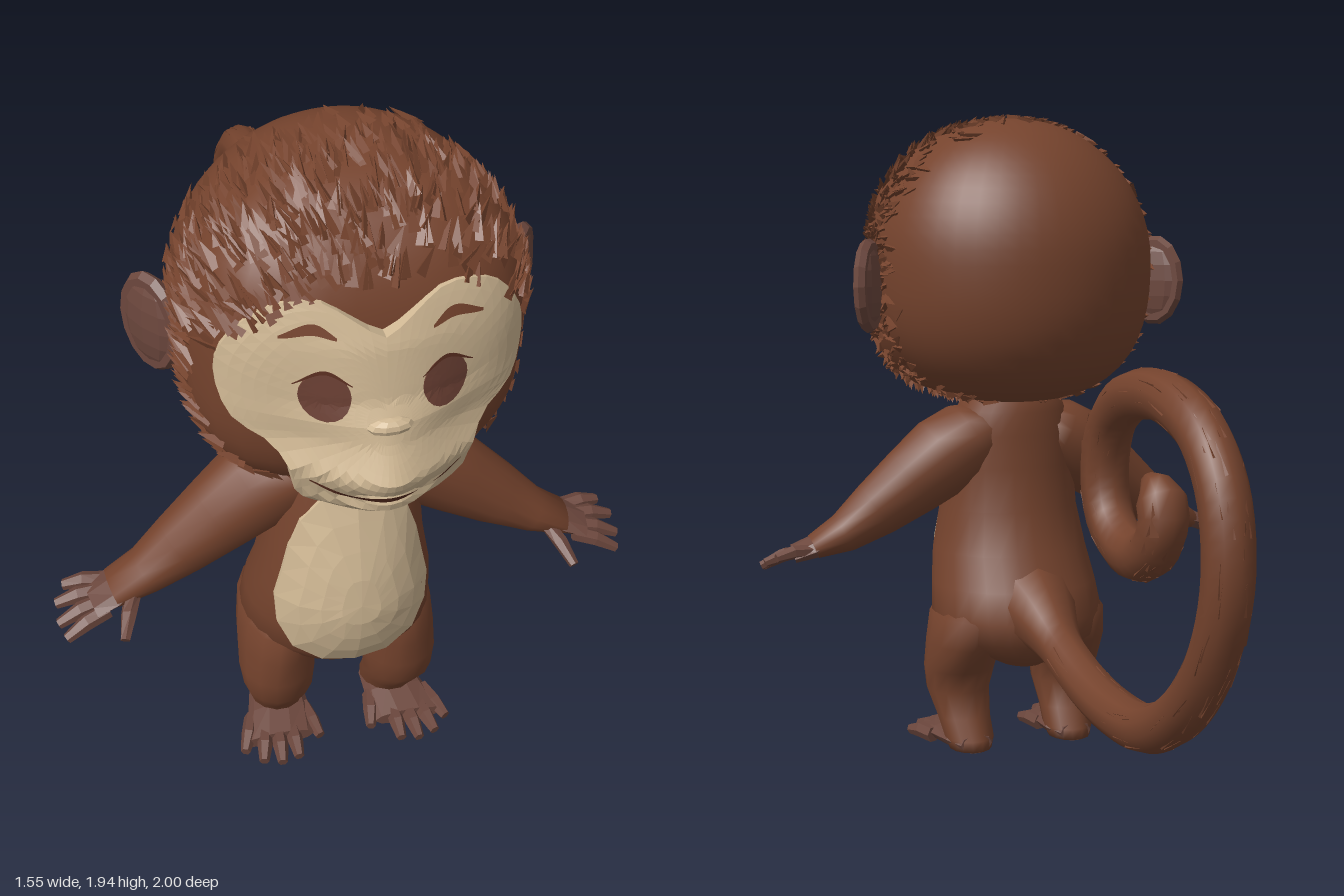
import * as THREE from 'three';
import { mergeGeometries, mergeVertices } from 'three/addons/utils/BufferGeometryUtils.js';

const mat = (name, color) => Object.assign(new THREE.MeshStandardMaterial({ color }), { name });
const FUR = mat('brown fur', 0x75432d);
const CREAM = mat('cream face', 0xd0b894);
const SKIN = mat('mauve skin', 0x6c473d);
const IRIS = mat('iris brown', 0x6a3f33);
const DARK = mat('dark brown', 0x5a2e20);
const V = (x, y, z) => new THREE.Vector3(x, y, z);

function build(pos, idx, flat) {
  let g = new THREE.BufferGeometry();
  g.setAttribute('position', new THREE.Float32BufferAttribute(pos, 3));
  g.setIndex(idx);
  if (flat) g = g.toNonIndexed();
  g.computeVertexNormals();
  return g;
}

// Skin elliptical sections [x, y, z, radiusU, radiusV] with closed ends
function loft(rows, { seg = 10, ref = V(0, 0, 1), axis = null, flat = true } = {}) {
  const pos = [], idx = [], last = rows.length - 1;
  const at = i => V(...rows[Math.min(last, Math.max(0, i))].slice(0, 3));
  for (let k = -1; k <= last + 1; k++) {
    const i = Math.min(last, Math.max(0, k)), s = k === i ? 1 : 0;
    const t = axis || at(i + 1).sub(at(i - 1)).normalize();
    const u = t.clone().cross(ref).normalize(), v = u.clone().cross(t);
    for (let j = 0; j < seg; j++) {
      const a = j / seg * Math.PI * 2;
      const p = at(i).addScaledVector(u, Math.cos(a) * rows[i][3] * s)
        .addScaledVector(v, Math.sin(a) * rows[i][4] * s);
      pos.push(p.x, p.y, p.z);
    }
  }
  for (let k = 0; k < last + 2; k++) for (let j = 0; j < seg; j++) {
    const a = k * seg + j, b = k * seg + (j + 1) % seg;
    idx.push(a, a + seg, b, b, a + seg, b + seg);
  }
  return build(pos, idx, flat);
}

// Patch draped over a depth function; outline runs clockwise seen from the front
function patch(outline, cx, cy, depth, rings, seg, skirt) {
  const curve = new THREE.CatmullRomCurve3(outline.map(([x, y]) => V(x, y, 0)), true);
  const rim = curve.getSpacedPoints(seg).slice(0, seg), pos = [], idx = [];
  for (let r = 0; r <= rings + 1; r++) for (const p of rim) {
    const f = Math.min(1, r / rings), x = cx + (p.x - cx) * f, y = cy + (p.y - cy) * f;
    pos.push(x, y, depth(x, y) - (r > rings ? skirt : 0));
  }
  for (let r = 0; r <= rings; r++) for (let j = 0; j < seg; j++) {
    const a = r * seg + j, b = r * seg + (j + 1) % seg;
    idx.push(a, b, a + seg, a + seg, b, b + seg);
  }
  return build(pos, idx, true);
}
const mirrored = half => [...half, ...half.slice(1, -1).reverse().map(([x, y]) => [-x, y])];

// Thin painted stroke, tapering at both ends, path running left to right
function stroke(path, width, depth, n = 16) {
  const pts = new THREE.CatmullRomCurve3(path.map(([x, y]) => V(x, y, 0))).getPoints(n);
  const pos = [], idx = [];
  pts.forEach((p, i) => {
    const w = width * (0.25 + 0.75 * Math.sin(Math.PI * i / n));
    for (const y of [p.y - w, p.y + w]) pos.push(p.x, y, depth(p.x, y));
    if (i < n) idx.push(2 * i, 2 * i + 2, 2 * i + 1, 2 * i + 1, 2 * i + 2, 2 * i + 3);
  });
  return build(pos, idx, true);
}

const lerpTable = (t, y, col) => {
  let i = 0;
  while (i < t.length - 2 && y > t[i + 1][0]) i++;
  const f = THREE.MathUtils.clamp((y - t[i][0]) / (t[i + 1][0] - t[i][0]), 0, 1);
  return t[i][col] + (t[i + 1][col] - t[i][col]) * f;
};

// Head: super-ellipsoid, squarer at the front and at the jaw
const HC = V(0, 1.5, 0.47), A = 0.42, B = 0.423, C = 0.387;
const power = (y, front) => (y > 0 ? 2 + 0.35 * front : 2.6 + 0.7 * front);
function headPoint(d) {
  const p = d.z > 0 ? 3 : 2, q = power(d.y, THREE.MathUtils.smoothstep(d.z / d.length(), 0, 0.5));
  const r = (Math.abs(d.x / A) ** p + Math.abs(d.z / C) ** p) ** (q / p);
  return d.clone().divideScalar((r + Math.abs(d.y / B) ** q) ** (1 / q)).add(HC);
}
function headFront(x, y) {
  const q = power(y - HC.y, 1), k = Math.abs((y - HC.y) / B);
  const r = Math.max(0, 1 - k ** q) ** (1 / q);
  return HC.z + C * Math.cbrt(Math.max(0, r ** 3 - Math.abs(x / A) ** 3));
}

// Face depth: centre profile [y, z], falling away to the sides, with a notch at the lips
const PROFILE = [[1.12, 0.85], [1.14, 0.91], [1.19, 0.965], [1.25, 0.985], [1.29, 1.0],
  [1.37, 0.955], [1.42, 0.94], [1.47, 0.91], [1.6, 0.885], [1.72, 0.83]];
function faceZ(x, y) {
  const w = 1 - THREE.MathUtils.smoothstep(y, 1.32, 1.5);
  const drop = 1.5 * x * x * (1 - w) + 0.7 * (Math.hypot(x, 0.06) - 0.06) * w;
  const notch = 0.025 * Math.exp(-(((y - 1.225) / 0.016) ** 2) - (x / 0.12) ** 2);
  const a = lerpTable(PROFILE, y, 1) - drop - notch, b = headFront(x, y) + 0.004;
  return (a + b + Math.hypot(a - b, 0.025)) / 2;
}

// Torso rows: y, half width, centre z, half depth
const TORSO = [[0.27, 0.07, 0.44, 0.1], [0.31, 0.15, 0.44, 0.17], [0.36, 0.23, 0.44, 0.22], [0.43, 0.265, 0.46, 0.25],
  [0.52, 0.255, 0.49, 0.25], [0.62, 0.24, 0.525, 0.228], [0.75, 0.215, 0.535, 0.2], [0.88, 0.205, 0.525, 0.175],
  [0.98, 0.2, 0.51, 0.16], [1.05, 0.17, 0.505, 0.15], [1.14, 0.13, 0.5, 0.13]];
const bellyZ = (x, y) => lerpTable(TORSO, y, 2) + 0.01 +
  lerpTable(TORSO, y, 3) * Math.sqrt(Math.max(0, 1 - (x / lerpTable(TORSO, y, 1)) ** 2));

// Small seeded random and one pointed tuft of fur
let seed = 7;
const rnd = () => (seed = (seed * 16807) % 2147483647) / 2147483647;
function tuft(p, dir, radius, length) {
  const g = new THREE.ConeGeometry(radius, length, 3, 1, true).toNonIndexed();
  g.rotateY(rnd() * 6).applyQuaternion(new THREE.Quaternion().setFromUnitVectors(V(0, 1, 0), dir));
  g.translate(p.x, p.y, p.z);
  g.computeVertexNormals();
  return g;
}

// Tufts combed away from the face
function headFur() {
  const tufts = [];
  while (tufts.length < 1000) {
    const d = V(rnd() * 2 - 1, rnd() * 2 - 1, rnd() * 2 - 1);
    if (d.length() > 1 || d.length() < 0.1) continue;
    const p = headPoint(d), e = p.clone().sub(HC);
    if (e.z < -0.12 + rnd() * 0.22) continue;
    if (e.z > 0.1 && (p.x / 0.41) ** 2 + ((p.y - 1.42) / 0.32) ** 2 < 1) continue;
    const n = V(e.x / A ** 2, e.y / B ** 2, e.z / C ** 2).normalize();
    const dir = p.clone().sub(V(0, 1.42, 0.9)).add(V(rnd() - 0.5, rnd() - 0.5, rnd() - 0.5).multiplyScalar(0.3));
    dir.addScaledVector(n, -dir.dot(n)).normalize().addScaledVector(n, 0.17).normalize();
    tufts.push(tuft(p.addScaledVector(dir, 0.01), dir, 0.018, 0.06 + rnd() * 0.03));
  }
  return mergeGeometries(tufts);
}

export function createModel() {
  seed = 7;
  const model = new THREE.Group();
  model.name = 'monkey';
  const add = (name, geo, material) => {
    const m = new THREE.Mesh(geo, material);
    m.name = name;
    model.add(m);
    return m;
  };

  // Head and fur
  let skull = new THREE.SphereGeometry(1, 40, 28);
  skull.deleteAttribute('uv');
  skull.deleteAttribute('normal');
  skull = mergeVertices(skull);
  const sp = skull.attributes.position;
  for (let i = 0; i < sp.count; i++) {
    const p = headPoint(V(0, 0, 0).fromBufferAttribute(sp, i));
    sp.setXYZ(i, p.x, p.y, p.z);
  }
  skull.computeVertexNormals();
  add('head', skull, FUR);
  add('headFur', headFur(), FUR);

  // Face
  const faceHalf = [[0, 1.625], [0.06, 1.66], [0.15, 1.71], [0.26, 1.69], [0.34, 1.6], [0.365, 1.5], [0.335, 1.39],
    [0.255, 1.34], [0.215, 1.28], [0.2, 1.2], [0.13, 1.14], [0, 1.12]];
  add('face', patch(mirrored(faceHalf), 0, 1.42, faceZ, 14, 56, 0.12), CREAM);
  const paint = h => (x, y) => faceZ(x, y) + h;
  add('mouth', stroke([[-0.18, 1.275], [-0.1, 1.238], [0, 1.226], [0.1, 1.238], [0.18, 1.275]], 0.01, paint(0.009), 24), DARK);
  const nose = add('nose', new THREE.SphereGeometry(1, 10, 6).toNonIndexed(), CREAM);
  nose.geometry.computeVertexNormals();
  nose.scale.set(0.055, 0.022, 0.025);
  nose.position.set(0, 1.42, 0.935);

  // Torso and belly
  add('torso', loft(TORSO.map(([y, w, z, d]) => [0, y, z, w, d]), { seg: 28, axis: V(0, 1, 0), flat: false }), FUR);
  const bellyHalf = [[0, 0.99], [0.09, 0.97], [0.15, 0.88], [0.185, 0.74], [0.21, 0.6], [0.175, 0.475], [0.085, 0.415], [0, 0.405]];
  add('belly', patch(mirrored(bellyHalf), 0, 0.66, bellyZ, 4, 18, 0.03), CREAM);

  // Curled tail, path as [z, y], with a few strands lying along it
  const tailPath = [[0.36, 0.47], [0.24, 0.445], [0.1, 0.39], [-0.1, 0.33], [-0.3, 0.305], [-0.5, 0.32], [-0.7, 0.42],
    [-0.86, 0.6], [-0.932, 0.8], [-0.905, 1.0], [-0.8, 1.13], [-0.65, 1.19], [-0.5, 1.2], [-0.35, 1.165], [-0.25, 1.08],
    [-0.215, 0.95], [-0.25, 0.84], [-0.35, 0.775], [-0.46, 0.77], [-0.55, 0.82], [-0.585, 0.9], [-0.555, 0.955], [-0.5, 0.975]];
  const tail = new THREE.CatmullRomCurve3(tailPath.map(([z, y]) => V(0, y, z))).getSpacedPoints(80);
  add('tail', loft(tail.map((p, i) => {
    const r = 0.066 + 0.09 * Math.max(0, 1 - i / 7) ** 1.5 - (i > 78 ? 0.02 * (i - 78) : 0);
    return [p.x, p.y, p.z, r, r];
  }), { seg: 10, ref: V(1, 0, 0), flat: false }), FUR);
  const strands = [];
  for (let i = 9; i < 78; i++) for (let k = 0; k < 3; k++) {
    const t = tail[i + 1].clone().sub(tail[i - 1]).normalize(), a = rnd() * Math.PI * 2;
    const out = t.clone().cross(V(1, 0, 0)).multiplyScalar(Math.cos(a)).add(V(Math.sin(a), 0, 0));
    strands.push(tuft(tail[i].clone().addScaledVector(out, 0.058), t.addScaledVector(out, 0.12).normalize(), 0.014, 0.09));
  }
  add('tailFur', mergeGeometries(strands), FUR);

  for (const s of [1, -1]) {
    const side = s > 0 ? 'left' : 'right';
    const flip = rows => rows.map(([x, ...rest]) => [s * x, ...rest]);
    const line = pts => (s > 0 ? pts : flip(pts).reverse());

    // Eye, lid and brow
    const eye = [...Array(12)].map((_, i) => {
      const a = -i / 12 * Math.PI * 2;
      return [s * 0.14 + Math.cos(a) * 0.057, 1.49 + Math.sin(a) * 0.06];
    });
    add(side + 'Eye', patch(eye, s * 0.14, 1.49, paint(0.007), 3, 20, 0.004), IRIS);
    add(side + 'Eyelid', stroke(line([[0.08, 1.52], [0.14, 1.553], [0.21, 1.52]]), 0.005, paint(0.009)), DARK);
    add(side + 'Brow', stroke(line([[0.11, 1.632], [0.16, 1.654], [0.235, 1.635]]), 0.013, paint(0.009)), FUR);

    // Ear: flattened cup with a rim
    const ear = new THREE.Group();
    ear.name = side + 'Ear';
    const cup = new THREE.SphereGeometry(1, 10, 8).scale(0.034, 0.125, 0.095).toNonIndexed();
    const rim = new THREE.TorusGeometry(0.09, 0.02, 6, 14).rotateY(Math.PI / 2).scale(1, 1.27, 0.95).toNonIndexed();
    for (const [name, g] of [['cup', cup], ['rim', rim]]) {
      g.computeVertexNormals();
      const m = new THREE.Mesh(g, SKIN);
      m.name = name;
      ear.add(m);
    }
    ear.position.set(s * 0.46, 1.435, 0.45);
    ear.rotation.y = -s * 0.58;
    model.add(ear);

    // Arm, hand and fingers
    add(side + 'Arm', loft(flip([[0.07, 1.0, 0.5, 0.08, 0.12], [0.14, 0.965, 0.5, 0.115, 0.13], [0.22, 0.915, 0.5, 0.125, 0.125],
      [0.32, 0.84, 0.51, 0.11, 0.105], [0.43, 0.76, 0.52, 0.088, 0.088], [0.53, 0.692, 0.53, 0.06, 0.072],
      [0.62, 0.655, 0.54, 0.034, 0.07]]), { seg: 14, flat: false }), FUR);
    add(side + 'Hand', loft(flip([[0.58, 0.672, 0.535, 0.03, 0.06], [0.62, 0.655, 0.54, 0.032, 0.072],
      [0.68, 0.636, 0.55, 0.022, 0.074]]), { seg: 8 }), SKIN);
    const fingers = [[0.64, 0.65, 0.5, 0.745, 0.64, 0.485], [0.65, 0.645, 0.53, 0.77, 0.62, 0.53],
      [0.65, 0.64, 0.565, 0.77, 0.6, 0.585], [0.64, 0.635, 0.595, 0.755, 0.588, 0.63], [0.57, 0.66, 0.575, 0.61, 0.61, 0.69]];
    fingers.forEach(([x, y, z, X, Y, Z], i) => add(`${side}Finger${i + 1}`, loft(flip([[x, y, z, 0.02, 0.026],
      [(x + X) / 2, (y + Y) / 2 + 0.008, (z + Z) / 2, 0.02, 0.025], [X, Y, Z, 0.013, 0.016]]), { seg: 6 }), SKIN));

    // Leg, foot and toes
    add(side + 'Leg', loft(flip([[0.165, 0.008, 0.44, 0.065, 0.078], [0.165, 0.04, 0.45, 0.076, 0.085], [0.17, 0.1, 0.485, 0.082, 0.085],
      [0.175, 0.18, 0.525, 0.098, 0.1], [0.175, 0.25, 0.51, 0.108, 0.12], [0.17, 0.34, 0.475, 0.11, 0.165],
      [0.16, 0.43, 0.46, 0.11, 0.18], [0.14, 0.5, 0.47, 0.08, 0.14]]), { seg: 14, axis: V(0, 1, 0), flat: false }), FUR);
    add(side + 'Foot', loft(flip([[0.165, 0.03, 0.38, 0.05, 0.03], [0.165, 0.036, 0.44, 0.078, 0.036], [0.175, 0.036, 0.53, 0.09, 0.036],
      [0.19, 0.026, 0.62, 0.1, 0.026]]), { seg: 10, ref: V(0, 1, 0), axis: V(0, 0, 1) }), SKIN);
    [[0.1, 0.075, 0.63], [0.15, 0.15, 0.69], [0.19, 0.2, 0.7], [0.225, 0.25, 0.685], [0.255, 0.295, 0.64]].forEach(([x, X, Z], i) =>
      add(`${side}Toe${i + 1}`, loft(flip([[x, 0.028, Z - 0.11, 0.022, 0.026], [(x + X) / 2, 0.03, Z - 0.05, 0.022, 0.026],
        [X, 0.02, Z, 0.014, 0.016]]), { seg: 6, ref: V(0, 1, 0) }), SKIN));
  }
  return model;
}
